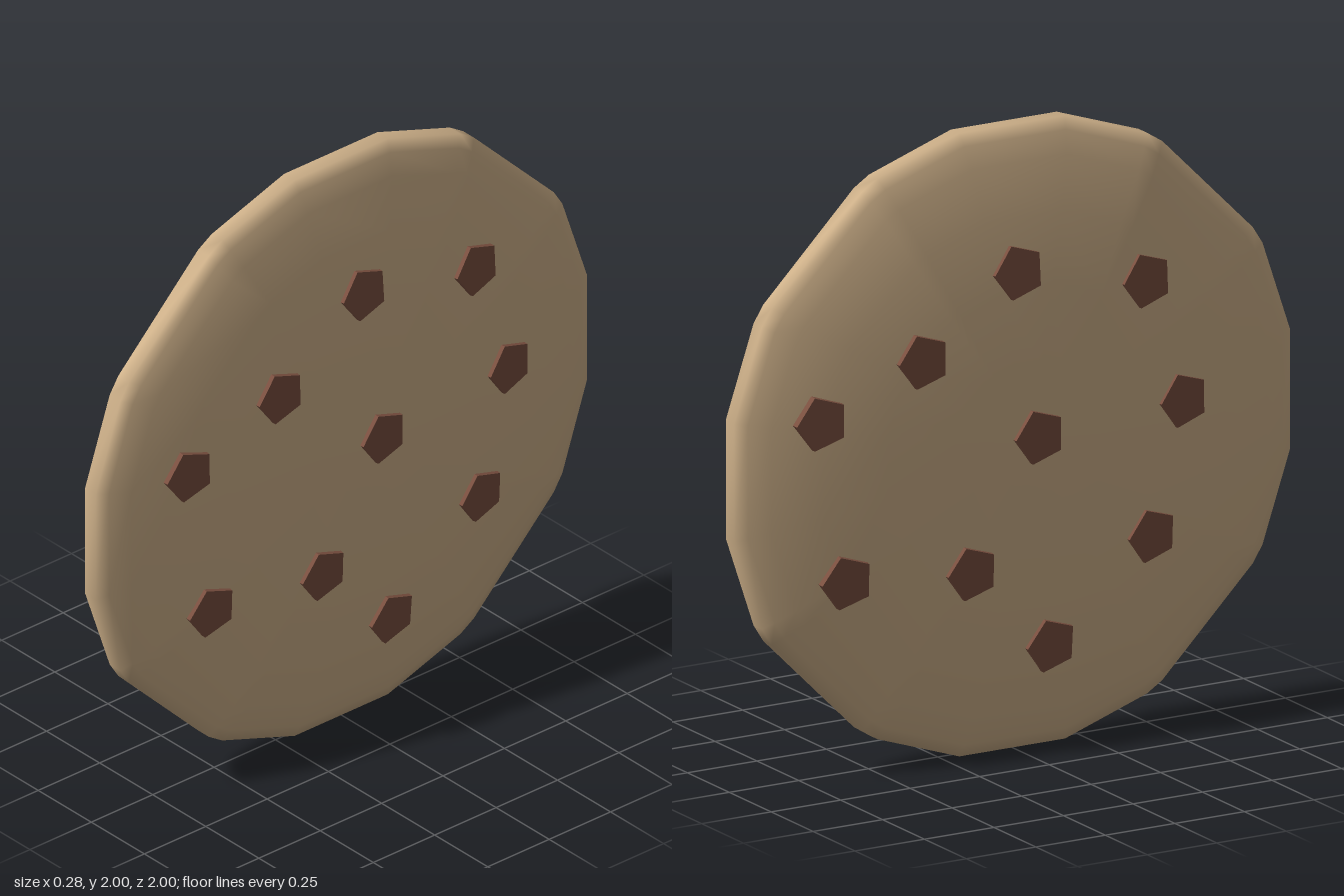
import * as THREE from 'three';

// Dome profile: [outline scale, half thickness]
const PROFILE = [[0, 0.126], [0.25, 0.123], [0.5, 0.113], [0.72, 0.095], [0.89, 0.066], [0.96, 0.042], [1, 0.025]];
const CENTRE_X = -0.004;

// One quarter of the faceted rim as [y, z]; the other three are quarter turns
const QUARTER = [[1, 0.19], [0.9, 0.485], [0.865, 0.54], [0.54, 0.865], [0.485, 0.9], [0.19, 1]];

// Chip positions on one face as [z, height above centre]
const CHIPS = [
  [-0.015, 0.553], [-0.48, 0.455], [0.33, 0.32], [0.685, 0.17], [-0.08, 0.02],
  [-0.61, 0.053], [0.595, -0.353], [0.157, -0.385], [-0.496, -0.364], [-0.137, -0.663],
];

function makeBody() {
  const outline = [];
  for (let q = 0; q < 4; q++) {
    for (let [y, z] of QUARTER) {
      for (let k = 0; k < q; k++) [y, z] = [-z, y];
      outline.push([y, z]);
    }
  }
  const rings = [
    ...PROFILE.map(([s, h]) => [s, -h]),
    ...[...PROFILE].reverse(),
  ];
  const n = outline.length;
  const positions = [];
  const index = [];
  rings.forEach(([s, x], i) => {
    outline.forEach(([y, z], j) => {
      positions.push(x, y * s, z * s);
      if (i === rings.length - 1) return;
      const a = i * n + j;
      const b = i * n + (j + 1) % n;
      index.push(a, b, a + n, b, b + n, a + n);
    });
  });
  const geometry = new THREE.BufferGeometry();
  geometry.setAttribute('position', new THREE.Float32BufferAttribute(positions, 3));
  geometry.setIndex(index);
  geometry.computeVertexNormals();
  return geometry;
}

// Half thickness and slope of the dome at radius r
function domeAt(r) {
  let i = 0;
  while (i < PROFILE.length - 2 && r > PROFILE[i + 1][0]) i++;
  const [r0, h0] = PROFILE[i];
  const [r1, h1] = PROFILE[i + 1];
  const slope = (h1 - h0) / (r1 - r0);
  return { h: h0 + slope * (r - r0), slope };
}

export function createModel() {
  const model = new THREE.Group();
  model.name = 'cookie';
  const dough = new THREE.MeshStandardMaterial({ color: 0xd2b48c });
  const chocolate = new THREE.MeshStandardMaterial({ color: 0x7b5040, flatShading: true });

  // Thin domed disc standing on its edge
  const body = new THREE.Mesh(makeBody(), dough);
  body.name = 'cookieBody';
  body.position.set(CENTRE_X, 1, 0);
  model.add(body);

  // Five-sided chips, half sunk and tilted to follow the dome
  const chipGeometry = new THREE.CylinderGeometry(0.089, 0.092, 0.036, 5).rotateZ(-Math.PI / 2);
  const xAxis = new THREE.Vector3(1, 0, 0);
  for (const side of [1, -1]) {
    const chips = new THREE.Group();
    chips.name = side > 0 ? 'leftChips' : 'rightChips';
    for (const [z, y] of CHIPS) {
      const r = Math.hypot(y, z);
      const { h, slope } = domeAt(r);
      const normal = new THREE.Vector3(1, -slope * y / r, -slope * z / r).normalize();
      const chip = new THREE.Mesh(chipGeometry, chocolate);
      chip.name = 'chocolateChip';
      chip.position.set(h - 0.004, y, z);
      chip.quaternion.setFromUnitVectors(xAxis, normal);
      chips.add(chip);
    }
    // The far face carries the same pattern turned half round and slightly shifted
    chips.rotation.y = side > 0 ? 0 : Math.PI;
    chips.position.set(CENTRE_X, 1, side > 0 ? 0 : -0.045);
    model.add(chips);
  }
  return model;
}
